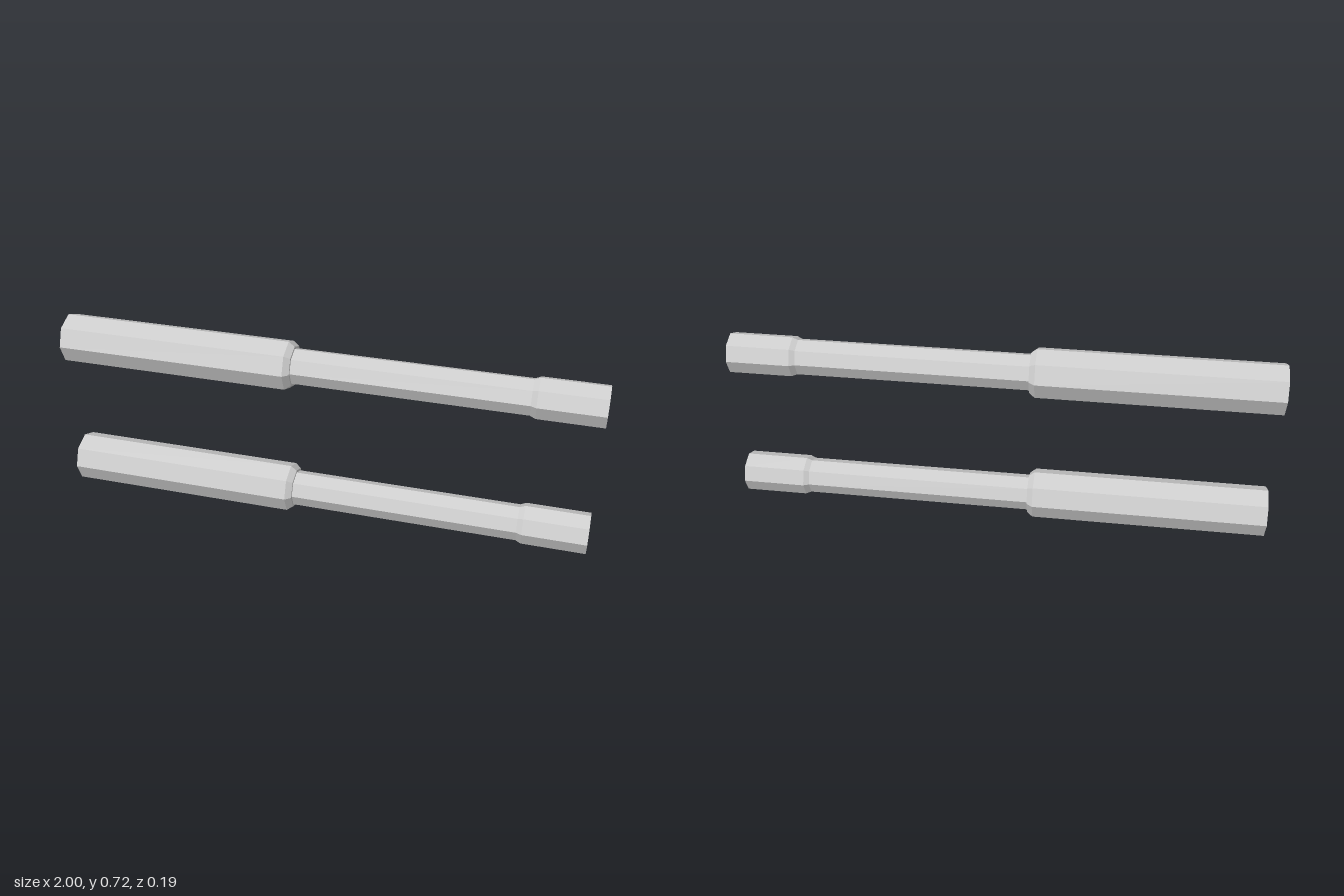
import * as THREE from 'three';

const SIDES = 8;

// Eight-sided solid of revolution along x from [x, radius] pairs
function turned(name, profile, material) {
  const points = profile.map(([x, r]) => new THREE.Vector2(r, x));
  const geometry = new THREE.LatheGeometry(points, SIDES);
  geometry.rotateZ(-Math.PI / 2);
  const mesh = new THREE.Mesh(geometry, material);
  mesh.name = name;
  return mesh;
}

function createRod(material) {
  const rod = new THREE.Group();
  // Thick grip with a chamfered front end
  rod.add(turned('grip', [
    [-1, 0], [-1, 0.094], [-0.13, 0.094], [-0.108, 0.077], [-0.108, 0.066],
  ], material));
  // Slim shaft swelling into a socket
  rod.add(turned('shaft', [
    [-0.108, 0.068], [0.745, 0.068], [0.765, 0.077], [1, 0.077],
  ], material));
  // Socket rim and blind bore
  rod.add(turned('socket', [
    [1, 0.077], [1, 0.065], [0.765, 0.065], [0.745, 0.058], [0.745, 0],
  ], material));
  return rod;
}

export function createModel() {
  const model = new THREE.Group();
  model.name = 'pairOfRods';
  const material = new THREE.MeshStandardMaterial({ color: 0xcccccc, flatShading: true });
  for (const [name, y] of [['lowerRod', 0.094], ['upperRod', 0.623]]) {
    const rod = createRod(material);
    rod.name = name;
    rod.position.y = y;
    model.add(rod);
  }
  return model;
}
